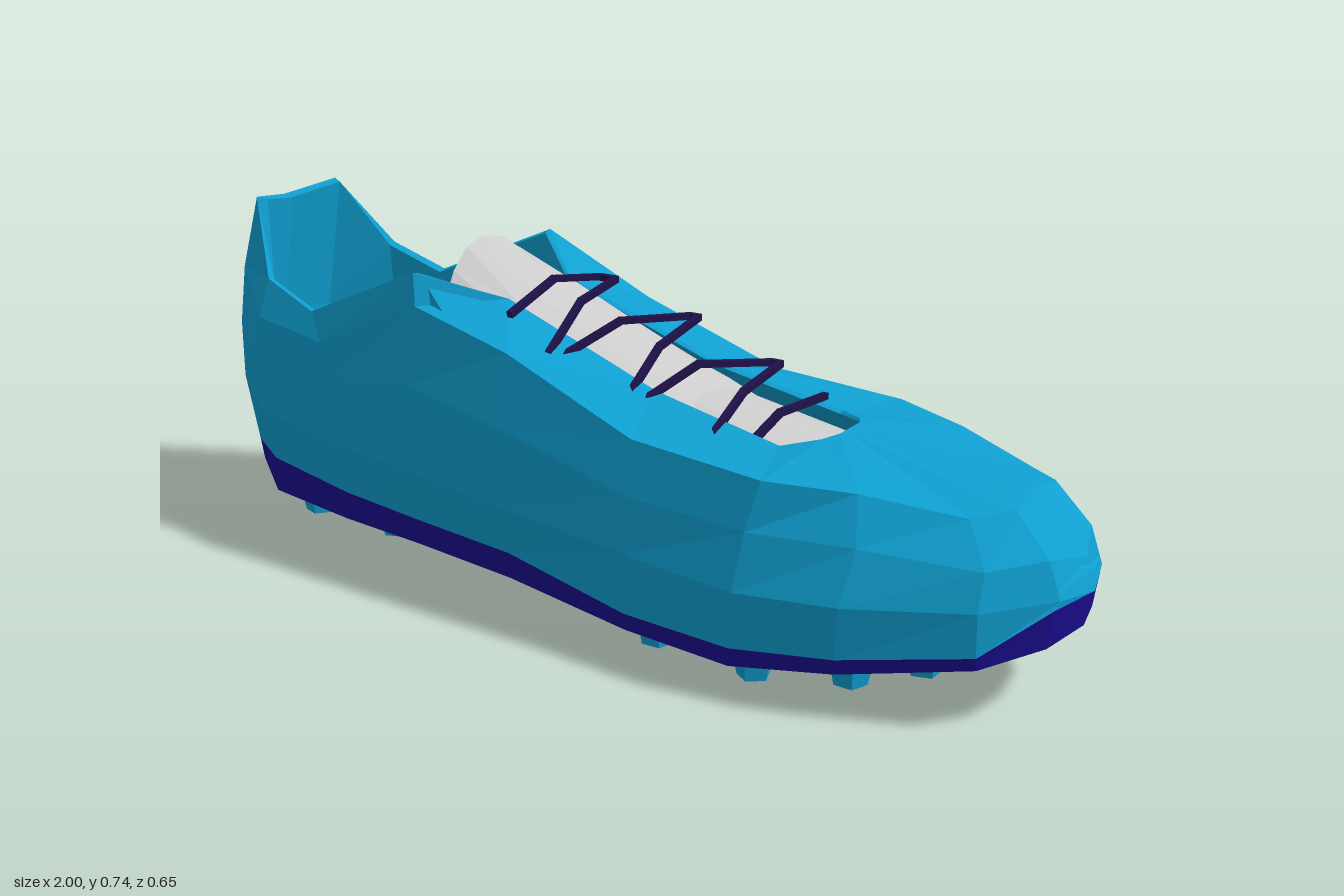
import * as THREE from 'three';

const mat = (color) => new THREE.MeshStandardMaterial({ color, flatShading: true, side: THREE.DoubleSide });
const teal = mat(0x0f9fd0), purple = mat(0x1a0c8c), laceMat = mat(0x1f1048), grey = mat(0xcccccc);

// Each contour runs heel to toe as [x, y, half width]; ring() mirrors it into a closed loop.
const base = [[-.95, .13, 0], [-.92, .12, .09], [-.78, .105, .19], [-.55, .1, .18], [-.34, .095, .15], [-.1, .08, .17],
  [.2, .06, .25], [.42, .06, .28], [.62, .085, .26], [.84, .115, .18], [.93, .14, .1], [.95, .15, 0]];
const edge = [[-.965, .135, 0], [-.93, .125, .1], [-.78, .115, .215], [-.55, .11, .235], [-.34, .105, .24], [-.1, .09, .25],
  [.2, .07, .29], [.44, .07, .315], [.64, .095, .285], [.87, .13, .2], [.96, .16, .11], [.985, .17, 0]];
const soleTop = [[-.965, .17, 0], [-.94, .17, .1], [-.78, .19, .215], [-.55, .17, .235], [-.34, .16, .245], [-.1, .145, .255],
  [.2, .105, .295], [.44, .105, .315], [.64, .125, .29], [.87, .155, .205], [.97, .235, .11], [.995, .25, 0]];
const bulge = [[-1, .32, 0], [-.965, .32, .11], [-.8, .3, .23], [-.56, .28, .25], [-.34, .27, .265], [-.1, .25, .28],
  [.2, .23, .305], [.45, .22, .325], [.65, .23, .3], [.87, .24, .21], [.975, .25, .1], [1, .24, 0]];
const mid = [[-.99, .45, 0], [-.955, .45, .12], [-.8, .42, .235], [-.57, .42, .245], [-.34, .45, .26], [-.1, .41, .275],
  [.2, .34, .29], [.46, .33, .3], [.66, .33, .26], [.87, .31, .19], [.95, .32, .1], [.98, .3, 0]];
const shoulder = [[-.96, .58, 0], [-.93, .58, .125], [-.79, .51, .23], [-.6, .49, .24], [-.33, .61, .24], [-.1, .555, .25],
  [.2, .445, .27], [.48, .425, .28], [.64, .415, .22], [.82, .385, .15], [.88, .395, .09], [.88, .41, 0]];
const rim = [[-.92, .72, 0], [-.88, .74, .125], [-.78, .59, .205], [-.64, .545, .22], [-.34, .675, .23], [-.2, .615, .105],
  [.15, .49, .115], [.43, .435, .125], [.49, .445, .075], [.51, .45, .04], [.51, .45, .02], [.51, .45, 0]];

const inset = (contour, sx, dy, sz) => contour.map(([x, y, z]) => [x < -.8 ? x * sx : x, y + dy, z * sz]);
const centre = (x) => -.01 - .025 * THREE.MathUtils.clamp((-.4 - x) / .4, 0, 1);

function ring(contour) {
  const left = contour.map(([x, y, z]) => [x, y, centre(x) + z]);
  const right = contour.slice(1, -1).reverse().map(([x, y, z]) => [x, y, centre(x) - z]);
  return [...left, ...right];
}

function buildMesh(name, material, points, index) {
  const g = new THREE.BufferGeometry();
  g.setAttribute('position', new THREE.Float32BufferAttribute(points.flat(), 3));
  g.setIndex(index);
  const flat = g.toNonIndexed();
  flat.computeVertexNormals();
  const mesh = new THREE.Mesh(flat, material);
  mesh.name = name;
  return mesh;
}

// Skins a series of equal-length cross-sections
function loft(name, material, rings, closed = true) {
  const n = rings[0].length, index = [];
  for (let r = 0; r < rings.length - 1; r++) {
    for (let i = 0; i < (closed ? n : n - 1); i++) {
      const j = (i + 1) % n, a = r * n + i, b = r * n + j;
      index.push(a, b, b + n, a, b + n, a + n);
    }
  }
  return buildMesh(name, material, rings.flat(), index);
}

// Fills a mirrored ring with strips from its left to its right side
function cap(name, material, contour, up) {
  const pts = ring(contour), n = pts.length, index = [];
  for (let i = 0; i < n / 2; i++) {
    const l = i, l2 = i + 1, r = (n - i) % n, r2 = n - i - 1;
    const tris = [[l, r, l2], [r, r2, l2]].filter((t) => new Set(t).size === 3);
    for (const [a, b, c] of tris) index.push(...(up ? [a, c, b] : [a, b, c]));
  }
  return buildMesh(name, material, pts, index);
}

// Square strip between two points
function strip(a, b, size) {
  const p = new THREE.Vector3(...a), q = new THREE.Vector3(...b);
  const mesh = new THREE.Mesh(new THREE.BoxGeometry(size, size, p.distanceTo(q) + size * .5), laceMat);
  mesh.position.copy(p).lerp(q, .5);
  mesh.lookAt(q);
  return mesh;
}

export function createModel() {
  const shoe = new THREE.Group();
  shoe.name = 'studdedShoe';

  // Sole and upper, with the lining folded inside
  const floor = inset(soleTop, .97, .03, .9);
  shoe.add(
    cap('outsole', teal, base, false),
    loft('soleBand', purple, [base, edge, soleTop].map(ring)),
    loft('upper', teal, [soleTop, bulge, mid, shoulder, rim, inset(rim, .975, -.005, .92),
      inset(mid, .96, 0, .88).map(([x, y, z]) => [x * .98, y, z]), floor].map(ring)),
    cap('insole', teal, floor, true),
  );

  // Arched tongue: [x, crown height, half width, drop at the sides]
  const tongueRows = [[-.345, .705, .165, .1], [-.2, .635, .14, .05], [.2, .465, .14, .04], [.44, .415, .135, .03], [.52, .4, .07, .02]];
  const arch = [-1, -.7, -.35, 0, .35, .7, 1];
  shoe.add(loft('tongue', grey, tongueRows.map(([x, y, w, d]) =>
    arch.map((t) => [x + .03 * t * t, y - d * t * t, -.01 + w * t])), false));

  // Lace strokes: [left x, left y, right x, right y, crown y]
  const laces = new THREE.Group();
  laces.name = 'laces';
  const strokes = [[-.14, .61, -.14, .62, .65], [-.05, .545, -.1, .62, .613], [-.04, .53, .08, .57, .588],
    [.12, .47, .1, .57, .55], [.13, .46, .27, .505, .53], [.31, .435, .29, .505, .492], [.37, .43, .39, .457, .465]];
  strokes.forEach(([lx, ly, rx, ry, cy], i) => {
    const l = [lx, ly, i === 6 ? .11 : .17], c = [(lx + rx) / 2, cy, .025], r = [rx, ry, -.135];
    laces.add(strip(l, c, .013), strip(c, r, .013));
    const next = strokes[i + 1];
    if (next && i % 2 === 0) laces.add(strip(r, [next[2], next[3], -.135], .013));
  });
  shoe.add(laces);

  // Tapered studs: [x, z, lowest y]
  const studs = new THREE.Group();
  studs.name = 'studs';
  const studGeo = new THREE.CylinderGeometry(.05, .033, .09, 5);
  const spots = [[-.74, -.13, .05], [-.74, .09, .05], [-.51, -.12, .05], [-.51, .1, .05], [.21, .18, .01], [.28, -.1, .01],
    [.43, .19, .002], [.43, -.21, .01], [.5, -.01, .02], [.61, .15, .02], [.72, .07, .04], [.75, -.165, .04]];
  for (const [x, z, y] of spots) {
    const stud = new THREE.Mesh(studGeo, teal);
    stud.position.set(x, y + .045, z);
    stud.rotation.y = x * 3;
    stud.name = 'stud';
    studs.add(stud);
  }
  shoe.add(studs);
  return shoe;
}
